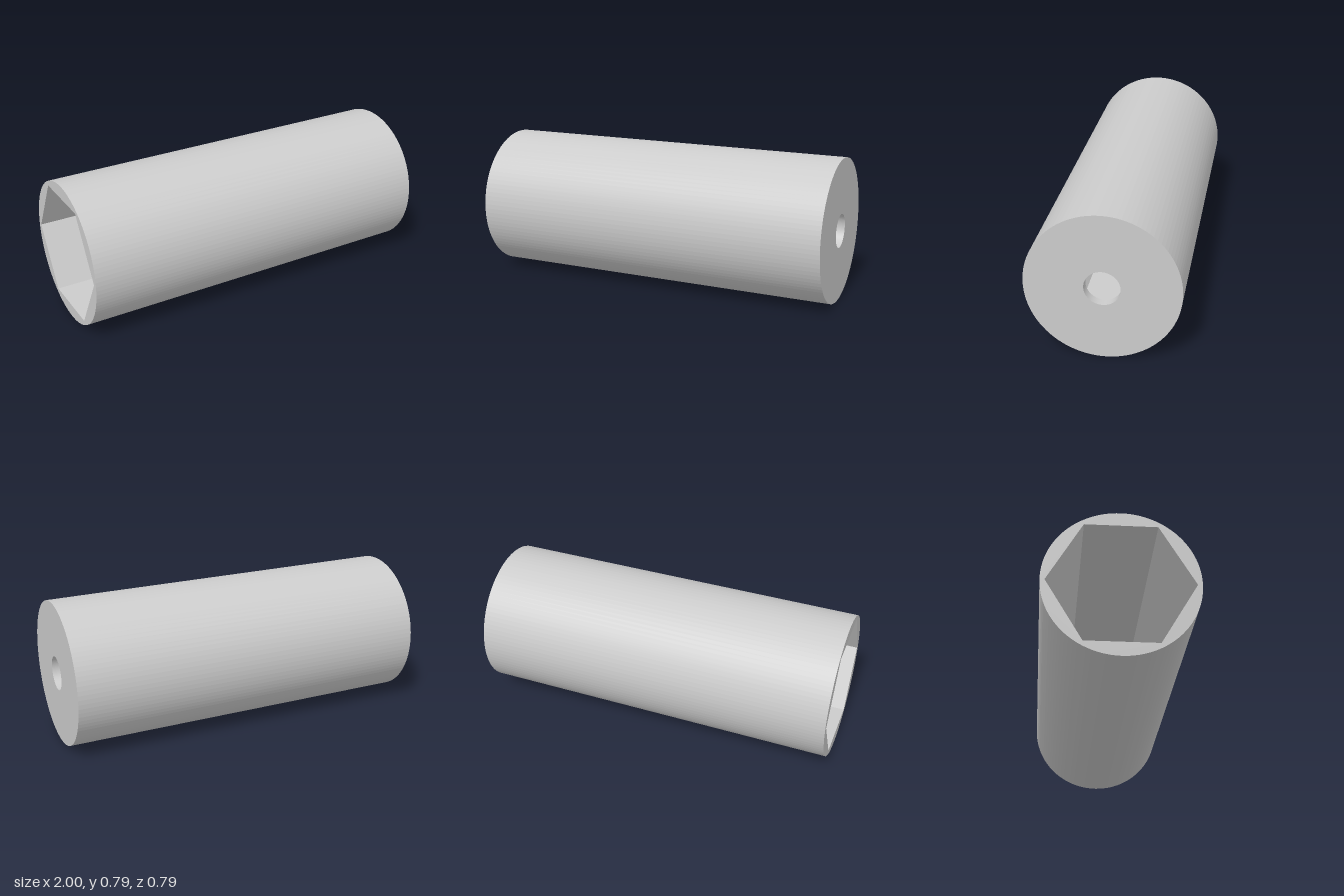
import * as THREE from 'three';

const RADIUS = 0.394, BORE = 0.092, HEX = 0.37; // HEX is measured to the corners
const END = 1, FLOOR = 0.95;                    // positions along the axis
const ROUND = 100;

const material = new THREE.MeshStandardMaterial({ color: 0xcccccc, flatShading: true });

function polygon(radius, sides) {
  return Array.from({ length: sides }, (_, i) => {
    const a = (i / sides) * Math.PI * 2;
    return new THREE.Vector2(Math.cos(a) * radius, Math.sin(a) * radius);
  });
}

// Open prism wall along z; inward walls have their winding reversed
function wall(radius, sides, z0, z1, inward) {
  const g = new THREE.CylinderGeometry(radius, radius, z1 - z0, sides, 1, true, Math.PI / 2);
  g.rotateX(Math.PI / 2).translate(0, 0, (z0 + z1) / 2);
  if (inward) g.index.array.reverse();
  const flat = g.toNonIndexed();
  flat.computeVertexNormals();
  return flat;
}

// Flat face at z with a hole in it, facing +z or -z
function face(outer, hole, z, facesBack) {
  const shape = new THREE.Shape(outer);
  shape.holes.push(new THREE.Path(hole));
  const g = new THREE.ShapeGeometry(shape);
  if (facesBack) g.rotateY(Math.PI);
  return g.translate(0, 0, z);
}

export function createModel() {
  const model = new THREE.Group();
  model.name = 'hexSocketSleeve';
  const add = (name, geometry) => {
    const mesh = new THREE.Mesh(geometry, material);
    mesh.name = name;
    model.add(mesh);
  };
  const rim = polygon(RADIUS, ROUND);
  const hex = polygon(HEX, 6);
  const bore = polygon(BORE, ROUND);

  // Round body
  add('outerWall', wall(RADIUS, ROUND, -END, END, false));
  // Deep hexagonal socket, open at one end
  add('socketRim', face(rim, hex, -END, true));
  add('socketWall', wall(HEX, 6, -END, FLOOR, true));
  add('socketFloor', face(hex, bore, FLOOR, true));
  // Thin closed end with a round through hole
  add('boreWall', wall(BORE, ROUND, FLOOR, END, true));
  add('endPlate', face(rim, bore, END, false));

  // Lay the axis along x, resting on the ground
  model.rotation.y = Math.PI / 2;
  model.position.y = RADIUS;
  return model;
}
